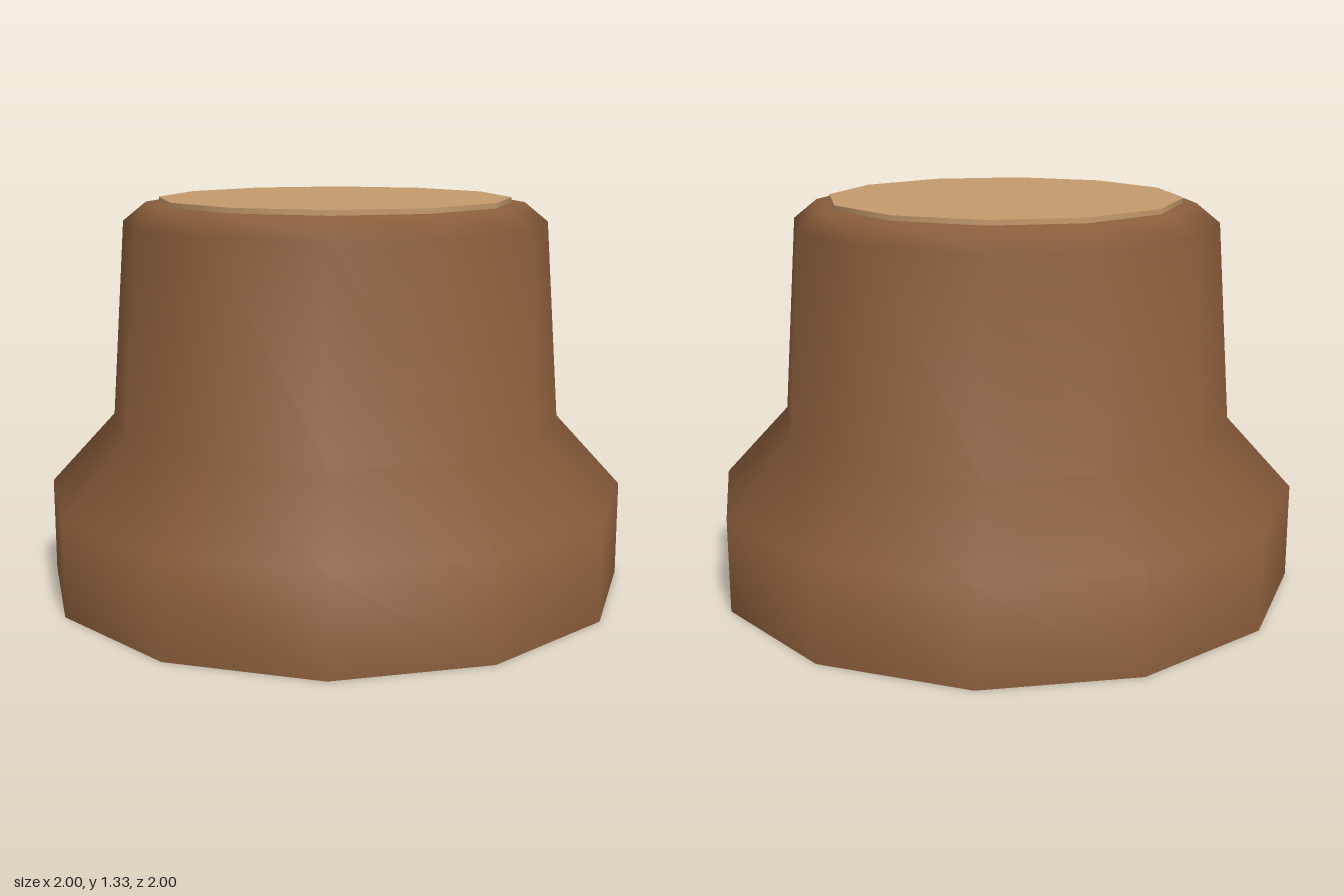
import * as THREE from 'three';

const SIDES = 12;

export function createModel() {
  const group = new THREE.Group();
  group.name = 'treeStump';

  const bark = new THREE.MeshStandardMaterial({ color: 0x8b5e3c });
  bark.name = 'bark brown';
  const wood = new THREE.MeshStandardMaterial({ color: 0xc49a6c });
  wood.name = 'cut wood tan';

  const add = (name, geometry, material) => {
    const mesh = new THREE.Mesh(geometry, material);
    mesh.name = name;
    group.add(mesh);
    return mesh;
  };

  // Flared trunk with a bevelled rim, smooth around and along the profile
  const profile = [
    [1, 0], [1, 0.325], [0.775, 0.57], [0.725, 1.245], [0.645, 1.31], [0.58, 1.31],
  ].map(([r, y]) => new THREE.Vector2(r, y));
  add('trunk', new THREE.LatheGeometry(profile, SIDES), bark);

  // Flat underside with a sharp edge
  add('underside', new THREE.CircleGeometry(1, SIDES).rotateX(Math.PI / 2), bark);

  // Slightly raised cut face
  add('cutFace', new THREE.CylinderGeometry(0.6, 0.6, 0.02, SIDES), wood).position.y = 1.317;

  return group;
}
